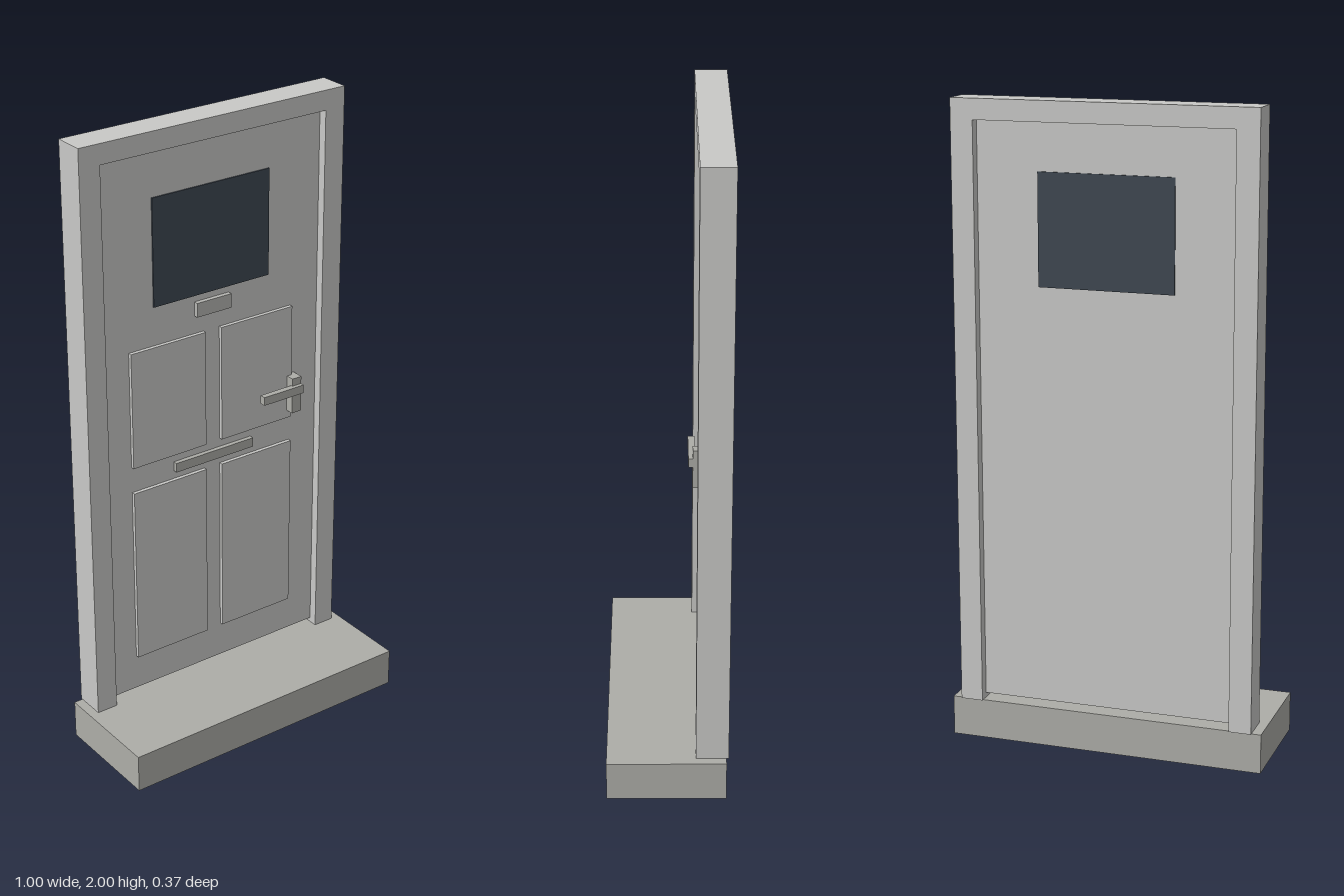
import * as THREE from 'three';

export function createModel() {
  const model = new THREE.Group();
  const mat = (name, color) => {
    const m = new THREE.MeshStandardMaterial({ color });
    m.name = name;
    return m;
  };
  const paint = mat('pale grey paint', 0xc9c9c7);
  const stone = mat('warm grey stone and metal', 0xadada8);
  const plaque = mat('mid grey plaque', 0xb7b7b3);
  const glass = mat('dark glass', 0x3f4852);

  const add = (name, geometry, material) => {
    const mesh = new THREE.Mesh(geometry, material);
    mesh.name = name;
    model.add(mesh);
  };
  // Box given by its limits on each axis
  const box = (name, material, [x0, x1], [y0, y1], [z0, z1]) => {
    const g = new THREE.BoxGeometry(x1 - x0, y1 - y0, z1 - z0);
    g.translate((x0 + x1) / 2, (y0 + y1) / 2, (z0 + z1) / 2);
    add(name, g, material);
  };

  const doorFront = -0.115, doorBack = -0.155;

  // Doorstep
  box('doorstep', stone, [-0.5, 0.5], [0, 0.125], [-0.18, 0.185]);

  // Frame: two jambs and a lintel as one extruded arch
  const arch = new THREE.Shape([
    [-0.47, 0.125], [-0.4, 0.125], [-0.4, 1.937], [0.4, 1.937],
    [0.4, 0.125], [0.47, 0.125], [0.47, 2], [-0.47, 2],
  ].map(([x, y]) => new THREE.Vector2(x, y)));
  const frame = new THREE.ExtrudeGeometry(arch, { depth: 0.1, bevelEnabled: false });
  frame.translate(0, 0, -0.187);
  add('doorFrame', frame, paint);

  // Door leaf, with a small gap above the step
  box('doorLeaf', paint, [-0.4, 0.4], [0.14, 1.937], [doorBack, doorFront]);

  // Raised panels
  for (const x of [[-0.303, -0.033], [0.026, 0.296]]) {
    for (const y of [[0.26, 0.853], [0.94, 1.322]]) {
      box('raisedPanel', paint, x, y, [doorFront - 0.005, doorFront + 0.012]);
    }
  }

  // Window pane, standing slightly proud on both sides
  box('windowPane', glass, [-0.213, 0.209], [1.447, 1.79], [doorBack - 0.004, doorFront + 0.004]);

  // Plaque and letterbox
  box('plaque', plaque, [-0.065, 0.061], [1.38, 1.426], [doorFront - 0.005, doorFront + 0.015]);
  box('letterbox', stone, [-0.148, 0.144], [0.88, 0.911], [doorFront - 0.005, doorFront + 0.015]);

  // Handle
  box('handlePlate', stone, [0.279, 0.314], [0.967, 1.087], [doorFront - 0.005, -0.075]);
  box('handleLever', stone, [0.16, 0.314], [1.034, 1.062], [-0.082, -0.062]);

  return model;
}
